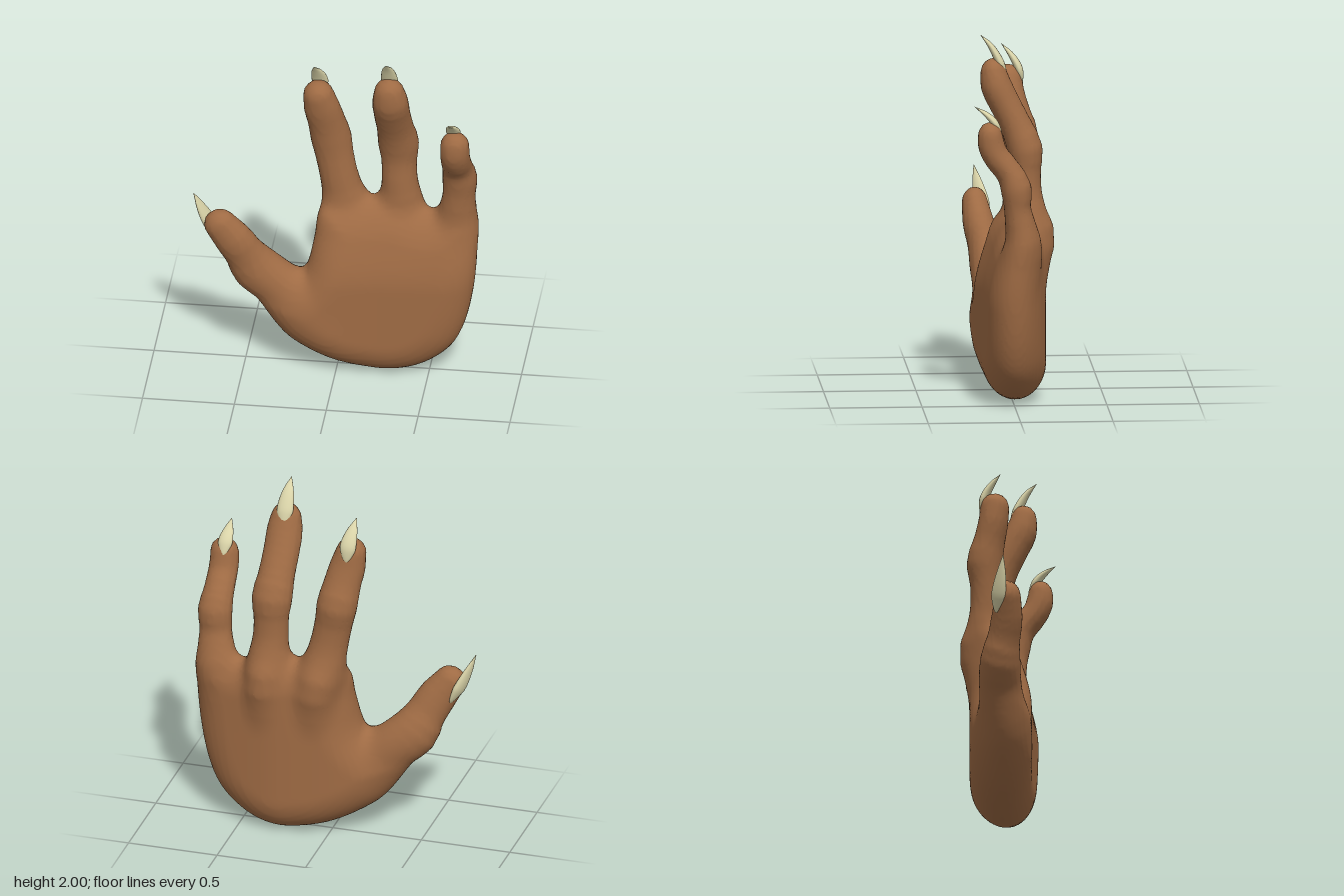
import * as THREE from 'three';

const skin = new THREE.MeshStandardMaterial({ color: 0x9f6b44, roughness: 0.8 });
const horn = new THREE.MeshStandardMaterial({ color: 0xd9d3a8, roughness: 0.6 });
const { smoothstep, clamp, lerp } = THREE.MathUtils;

// Palm outline seen from the front
const outline = new THREE.CatmullRomCurve3([
  [0.28, 0.0], [0.42, 0.028], [0.54, 0.095], [0.63, 0.185], [0.69, 0.31], [0.738, 0.52], [0.758, 0.75], [0.748, 0.94],
  [0.66, 1.0], [0.49, 0.98], [0.33, 1.03], [0.17, 1.03], [0.0, 1.02], [-0.095, 0.97], [-0.125, 0.8], [-0.17, 0.62],
  [-0.25, 0.53], [-0.37, 0.44], [-0.36, 0.35], [-0.28, 0.22], [-0.16, 0.13], [0, 0.05], [0.15, 0.012],
].map(([x, y]) => new THREE.Vector3(x, y, 0)), true).getPoints(90);

// Fingers start inside the palm as knuckles: [x, y, z, half width, half depth]
const fingers = {
  index: {
    bones: [
      [0.09, 0.62, -0.06, 0.08, 0.07], [0.06, 0.88, -0.118, 0.1, 0.1], [0.025, 1.03, -0.075, 0.112, 0.098],
      [0.0, 1.15, -0.062, 0.104, 0.088], [-0.025, 1.28, -0.062, 0.104, 0.086], [-0.045, 1.39, -0.066, 0.111, 0.097],
      [-0.065, 1.5, -0.04, 0.102, 0.084], [-0.088, 1.6, -0.015, 0.098, 0.08], [-0.105, 1.685, -0.003, 0.083, 0.078],
    ],
    claw: [[-0.1, 1.66, -0.08], [-0.105, 1.75, -0.06], [-0.115, 1.82, -0.02], [-0.125, 1.877, 0.03]],
    width: 0.045,
  },
  middle: {
    bones: [
      [0.35, 0.62, -0.07, 0.08, 0.07], [0.35, 0.88, -0.128, 0.097, 0.1], [0.337, 1.03, -0.085, 0.107, 0.098],
      [0.328, 1.15, -0.072, 0.097, 0.086], [0.325, 1.27, -0.073, 0.097, 0.082], [0.322, 1.38, -0.068, 0.111, 0.094],
      [0.31, 1.5, -0.022, 0.1, 0.083], [0.3, 1.62, 0.037, 0.099, 0.08], [0.297, 1.72, 0.085, 0.098, 0.082],
      [0.293, 1.79, 0.1, 0.083, 0.07],
    ],
    claw: [[0.29, 1.77, 0.03], [0.29, 1.86, 0.07], [0.287, 1.94, 0.115], [0.285, 2.0, 0.17]],
    width: 0.046,
  },
  little: {
    bones: [
      [0.61, 0.65, -0.02, 0.07, 0.06], [0.635, 0.88, -0.045, 0.085, 0.082], [0.652, 1.02, -0.02, 0.095, 0.08],
      [0.66, 1.12, -0.005, 0.089, 0.072], [0.665, 1.22, 0.002, 0.095, 0.083], [0.658, 1.31, 0.04, 0.084, 0.068],
      [0.655, 1.4, 0.11, 0.081, 0.068], [0.654, 1.46, 0.135, 0.08, 0.072], [0.655, 1.51, 0.142, 0.078, 0.066],
    ],
    claw: [[0.645, 1.515, 0.08], [0.643, 1.585, 0.12], [0.64, 1.63, 0.165], [0.64, 1.67, 0.225]],
    width: 0.04,
  },
  thumb: {
    bones: [
      [-0.06, 0.28, 0.05, 0.12, 0.11], [-0.17, 0.38, 0.06, 0.14, 0.118], [-0.27, 0.47, 0.058, 0.14, 0.116],
      [-0.35, 0.54, 0.06, 0.134, 0.114], [-0.435, 0.615, 0.073, 0.134, 0.108], [-0.495, 0.72, 0.1, 0.11, 0.088],
      [-0.55, 0.815, 0.125, 0.105, 0.084], [-0.62, 0.912, 0.14, 0.089, 0.07],
    ],
    claw: [[-0.64, 0.815, 0.08], [-0.69, 0.91, 0.1], [-0.73, 1.0, 0.118], [-0.768, 1.095, 0.135]],
    width: 0.045,
    side: [-0.5, 0, 0.85],
  },
};

// Smooth curves through the centres and the radii of a row of sections
function sample(sections, steps) {
  const curve = pick => new THREE.CatmullRomCurve3(sections.map(pick), false, 'catmullrom');
  const path = curve(s => new THREE.Vector3(s[0], s[1], s[2]));
  const size = curve(s => new THREE.Vector3(s[3], s[4], 0));
  return Array.from({ length: steps + 1 }, (_, i) => {
    const r = size.getPoint(i / steps);
    return { c: path.getPoint(i / steps), t: path.getTangent(i / steps), a: r.x, b: r.y };
  });
}

// Signed distance to the palm outline
function outlineDistance(x, y) {
  let best = Infinity, inside = false;
  for (let i = 0; i < outline.length - 1; i++) {
    const p = outline[i], q = outline[i + 1], ex = q.x - p.x, ey = q.y - p.y;
    const t = clamp(((x - p.x) * ex + (y - p.y) * ey) / (ex * ex + ey * ey), 0, 1);
    best = Math.min(best, Math.hypot(x - p.x - ex * t, y - p.y - ey * t));
    if ((p.y > y) !== (q.y > y) && x < p.x + (ex * (y - p.y)) / ey) inside = !inside;
  }
  return inside ? -best : best;
}

// Palm: a softly rounded slab, thumb side forward, thinner towards the webs
function palmDistance(x, y, z, edge) {
  const thin = smoothstep(y, 0.55, 1.1), round = 0.2;
  const mid = 0.06 - 0.075 * smoothstep(x, -0.4, 0.3) + 0.025 * smoothstep(x, 0.3, 0.75) - 0.05 * thin;
  const half = (0.125 + 0.045 * smoothstep(x, -0.4, 0) - 0.035 * smoothstep(x, 0.25, 0.7)) * (1 - 0.32 * thin);
  const u = Math.max(edge + round, 0) * (half / round);
  return Math.hypot(u, z - mid) - half;
}

// Finger: a row of tapered, slightly flattened capsules
function fingerDistance(x, y, z, rings) {
  let best = Infinity;
  for (let i = 0; i < rings.length - 1; i++) {
    const p = rings[i], q = rings[i + 1];
    const ex = q.c.x - p.c.x, ey = q.c.y - p.c.y, ez = q.c.z - p.c.z;
    const dx = x - p.c.x, dy = y - p.c.y, dz = z - p.c.z;
    const t = clamp((dx * ex + dy * ey + dz * ez) / (ex * ex + ey * ey + ez * ez), 0, 1);
    const a = lerp(p.a, q.a, t), flat = a / lerp(p.b, q.b, t);
    best = Math.min(best, Math.hypot(dx - ex * t, dy - ey * t, (dz - ez * t) * flat) - a);
  }
  return best;
}

function blend(a, b, k) {
  const h = Math.max(k - Math.abs(a - b), 0) / k;
  return Math.min(a, b) - (h * h * k) / 4;
}

// One continuous skin: a net drawn over the blended palm and fingers
function buildSkin() {
  const cell = 0.02, min = [-0.8, -0.07, -0.3], n = [82, 102, 31];
  const stride = [1, n[0], n[0] * n[1]];
  const chains = Object.values(fingers).map(f => sample(f.bones, f.bones.length * 2));
  const field = new Float32Array(n[0] * n[1] * n[2]);
  for (let j = 0; j < n[1]; j++) for (let i = 0; i < n[0]; i++) {
    const x = min[0] + i * cell, y = min[1] + j * cell, edge = outlineDistance(x, y);
    for (let k = 0; k < n[2]; k++) {
      const z = min[2] + k * cell;
      field[i + j * stride[1] + k * stride[2]] = chains.reduce(
        (d, rings) => blend(d, fingerDistance(x, y, z, rings), 0.06), palmDistance(x, y, z, edge));
    }
  }
  // One vertex in every cell the surface passes through
  const pos = [], index = [], vertex = new Int32Array(field.length).fill(-1);
  const offset = c => (c & 1) * stride[0] + ((c >> 1) & 1) * stride[1] + (c >> 2) * stride[2];
  for (let k = 0; k < n[2] - 1; k++) for (let j = 0; j < n[1] - 1; j++) for (let i = 0; i < n[0] - 1; i++) {
    const id = i + j * stride[1] + k * stride[2], sum = [0, 0, 0];
    let hits = 0;
    for (let c = 0; c < 8; c++) for (let axis = 0; axis < 3; axis++) {
      if (c & (1 << axis)) continue;
      const f = field[id + offset(c)], g = field[id + offset(c | (1 << axis))];
      if ((f < 0) === (g < 0)) continue;
      for (let m = 0; m < 3; m++) sum[m] += m === axis ? f / (f - g) : (c >> m) & 1;
      hits++;
    }
    if (!hits) continue;
    vertex[id] = pos.length / 3;
    [i, j, k].forEach((v, m) => pos.push(min[m] + (v + sum[m] / hits) * cell));
  }
  // One quad around every grid edge that crosses the surface
  for (let id = 0; id < field.length; id++) {
    if (vertex[id] < 0) continue;
    for (let axis = 0; axis < 3; axis++) {
      const inside = field[id] < 0;
      if (inside === (field[id + stride[axis]] < 0)) continue;
      const u = stride[(axis + 1) % 3], v = stride[(axis + 2) % 3];
      const quad = [id - u - v, id - v, id, id - u].map(q => vertex[q]);
      if (!inside) quad.reverse();
      index.push(quad[0], quad[1], quad[2], quad[0], quad[2], quad[3]);
    }
  }
  return finish('handSkin', pos, index, skin);
}

// Curved claw tapering from a rounded root to a point
function buildClaw(name, { claw, width, side = [1, 0, 0] }) {
  const taper = [0.9, 1, 0.68, 0.04], sides = 16, steps = 18, pos = [], index = [];
  const rings = sample(claw.map((p, i) => [...p, width * taper[i], width * 0.5 * taper[i]]), steps);
  rings.forEach(({ c, t, a, b }, i) => {
    const root = Math.sqrt(Math.min(1, (i + 0.3) / 5));
    const s = new THREE.Vector3(...side);
    s.addScaledVector(t, -s.dot(t)).normalize();
    const out = new THREE.Vector3().crossVectors(s, t);
    for (let j = 0; j < sides; j++) {
      const q = (j / sides) * Math.PI * 2;
      const p = c.clone().addScaledVector(s, a * root * Math.cos(q)).addScaledVector(out, b * root * Math.sin(q));
      pos.push(p.x, p.y, p.z);
    }
  });
  pos.push(...rings[0].c.toArray(), ...rings[steps].c.toArray());
  const bottom = (steps + 1) * sides, tip = bottom + 1;
  for (let j = 0; j < sides; j++) {
    const k = (j + 1) % sides;
    for (let i = 0; i < steps; i++) {
      const a = i * sides + j, b = i * sides + k;
      index.push(a, a + sides, b, b, a + sides, b + sides);
    }
    index.push(bottom, j, k, tip, steps * sides + k, steps * sides + j);
  }
  return finish(name, pos, index, horn);
}

function finish(name, pos, index, material) {
  const g = new THREE.BufferGeometry();
  g.setAttribute('position', new THREE.Float32BufferAttribute(pos, 3));
  g.setIndex(index);
  g.computeVertexNormals();
  const mesh = new THREE.Mesh(g, material);
  mesh.name = name;
  return mesh;
}

export function createModel() {
  const hand = new THREE.Group();
  hand.name = 'clawedHand';
  hand.add(buildSkin());
  for (const [name, finger] of Object.entries(fingers)) hand.add(buildClaw(name + 'Claw', finger));
  return hand;
}
